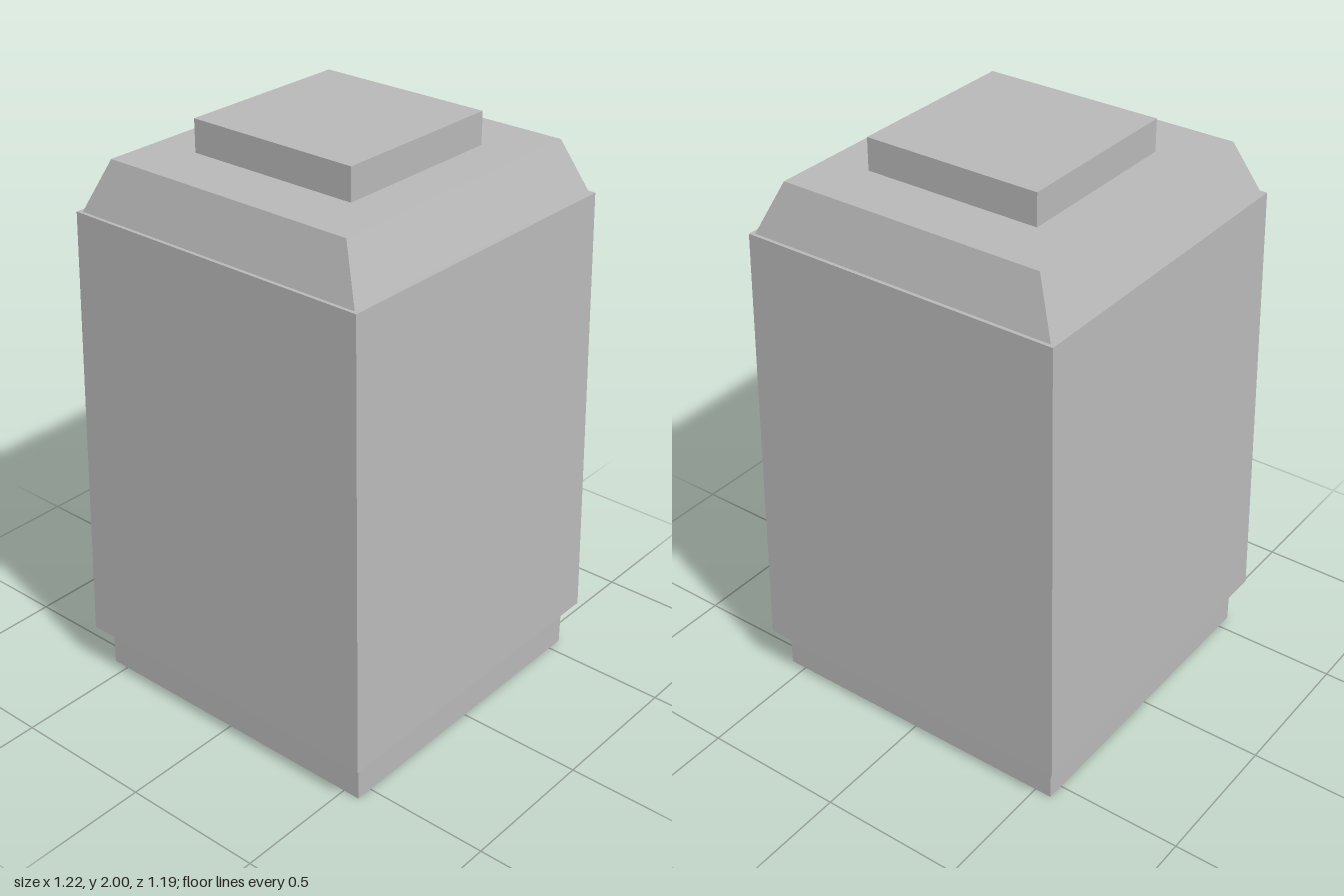
import * as THREE from 'three';

// Four-sided block whose top may be narrower than its bottom
function taperedBlock(name, material, y0, y1, bottom, top) {
  const height = y1 - y0;
  const geometry = new THREE.BoxGeometry(1, height, 1).toNonIndexed();
  const pos = geometry.attributes.position;
  for (let i = 0; i < pos.count; i++) {
    const [halfX, halfZ] = pos.getY(i) > 0 ? top : bottom;
    pos.setX(i, pos.getX(i) * 2 * halfX);
    pos.setZ(i, pos.getZ(i) * 2 * halfZ);
  }
  geometry.computeVertexNormals();
  const mesh = new THREE.Mesh(geometry, material);
  mesh.name = name;
  mesh.position.y = (y0 + y1) / 2;
  return mesh;
}

export function createModel() {
  const model = new THREE.Group();
  model.name = 'taperedPillar';
  const grey = new THREE.MeshStandardMaterial({ color: 0xb8b8b8 });
  grey.name = 'grey';

  // Stacked from the ground up: [halfX, halfZ] at the bottom and the top
  model.add(
    taperedBlock('plinth', grey, 0, 0.155, [0.56, 0.56], [0.56, 0.56]),
    taperedBlock('body', grey, 0.155, 1.715, [0.608, 0.597], [0.585, 0.562]),
    taperedBlock('bevelledShoulder', grey, 1.715, 1.89, [0.573, 0.547], [0.515, 0.467]),
    taperedBlock('cap', grey, 1.89, 2, [0.311, 0.311], [0.311, 0.311]),
  );
  return model;
}
